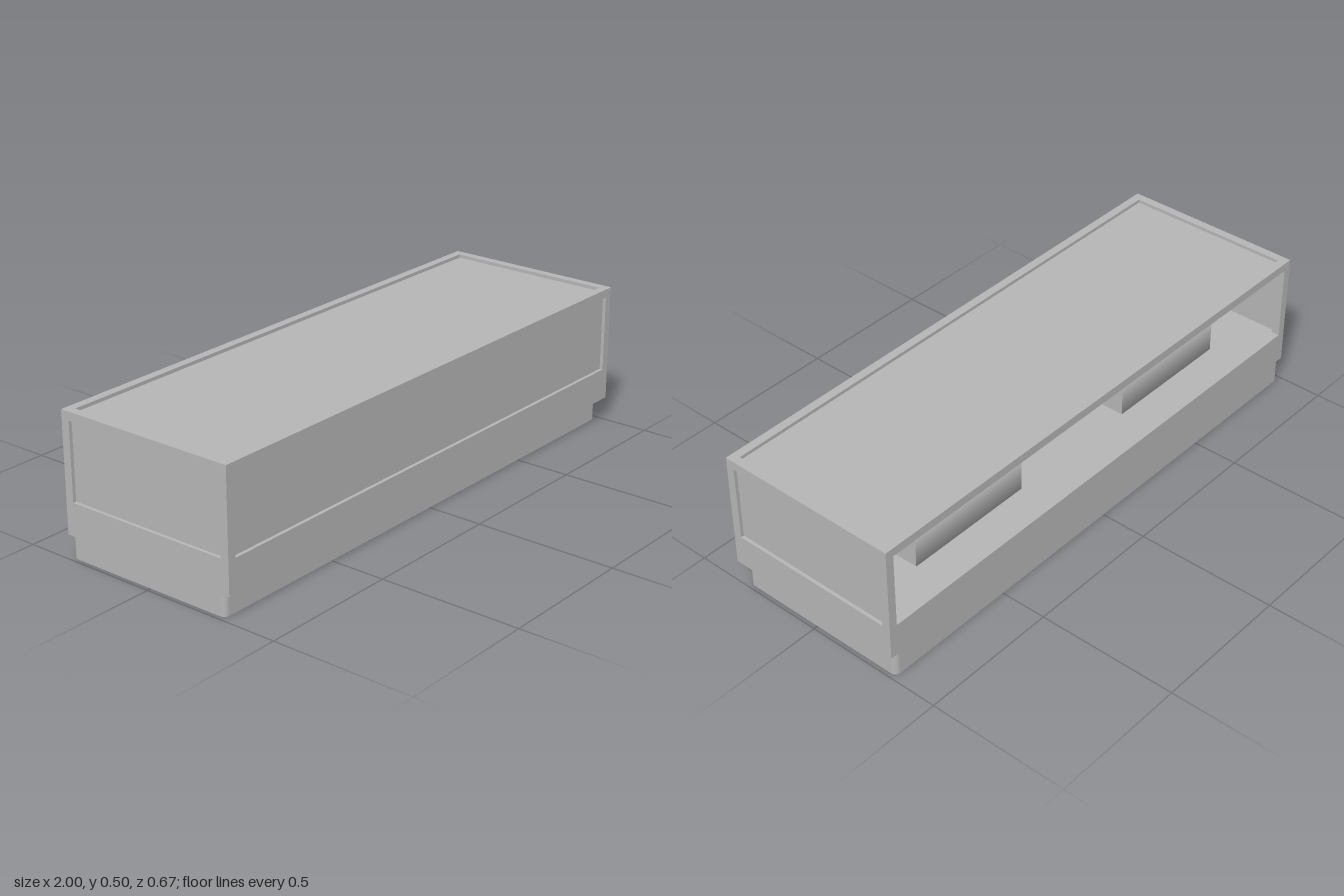
import * as THREE from 'three';

const HALF_X = 1, HALF_Z = 0.333, TOP = 0.5, FLOOR = 0.2, BOTTOM = 0.085;
const RAIL = 0.03, RECESS = 0.012, PANEL = 0.004;

// Rectangle with rounded corners, half sizes w and h
function roundedRect(path, w, h, r) {
  path.absarc(w - r, h - r, r, 0, Math.PI / 2);
  path.absarc(-w + r, h - r, r, Math.PI / 2, Math.PI);
  path.absarc(-w + r, -h + r, r, Math.PI, Math.PI * 1.5);
  path.absarc(w - r, -h + r, r, Math.PI * 1.5, Math.PI * 2);
  path.closePath();
  return path;
}

export function createModel() {
  const model = new THREE.Group();
  model.name = 'displayCase';
  const grey = new THREE.MeshStandardMaterial({ color: 0xb5b5b5 });
  grey.name = 'grey';

  const add = (name, geometry, x, y, z) => {
    const mesh = new THREE.Mesh(geometry, grey);
    mesh.name = name;
    mesh.position.set(x, y, z);
    model.add(mesh);
    return mesh;
  };
  const box = (name, w, h, d, x, y, z) => add(name, new THREE.BoxGeometry(w, h, d), x, y, z);

  // Hollow plinth, set back at the front and flush at the back
  const outline = roundedRect(new THREE.Shape(), 0.985, 0.3165, 0.02);
  outline.holes.push(roundedRect(new THREE.Path(), 0.981, 0.3125, 0.016));
  const plinth = new THREE.ExtrudeGeometry(outline, { depth: BOTTOM, bevelEnabled: false, curveSegments: 8 });
  plinth.rotateX(-Math.PI / 2);
  add('plinth', plinth, 0, 0, -0.0165);

  // Solid lower body, whose top is the display floor
  box('lowerBody', 2 * HALF_X, FLOOR - BOTTOM, 2 * HALF_Z, 0, (FLOOR + BOTTOM) / 2, 0);

  // Frame posts and top rails
  const postX = HALF_X - RAIL / 2, postZ = HALF_Z - RAIL / 2;
  const postHeight = TOP - RAIL - FLOOR, midY = FLOOR + postHeight / 2;
  for (const sx of [1, -1]) {
    for (const sz of [1, -1]) {
      box('cornerPost', RAIL, postHeight, RAIL, sx * postX, midY, sz * postZ);
    }
    box('sideTopRail', RAIL, RAIL, 2 * (HALF_Z - RAIL), sx * postX, TOP - RAIL / 2, 0);
  }
  for (const sz of [1, -1]) {
    box('longTopRail', 2 * HALF_X, RAIL, RAIL, 0, TOP - RAIL / 2, sz * postZ);
  }

  // Recessed panes on the top, front and sides; the back stays open
  const innerX = 2 * (HALF_X - RAIL), innerZ = 2 * (HALF_Z - RAIL), inset = RECESS + PANEL / 2;
  box('topPane', innerX, PANEL, innerZ, 0, TOP - inset, 0);
  box('frontPane', innerX, postHeight, PANEL, 0, midY, HALF_Z - inset);
  for (const sx of [1, -1]) {
    box('sidePane', PANEL, postHeight, innerZ, sx * (HALF_X - inset), midY, 0);
  }

  // Two soft-shaded display blocks standing on the floor
  const block = new THREE.CylinderGeometry(Math.SQRT1_2, Math.SQRT1_2, 1, 4);
  block.rotateY(Math.PI / 4).rotateZ(Math.PI / 2).scale(0.49, 0.135, 0.25);
  for (const sx of [1, -1]) {
    add('displayBlock', block, sx * 0.5, FLOOR + 0.0675, -0.075);
  }

  return model;
}
